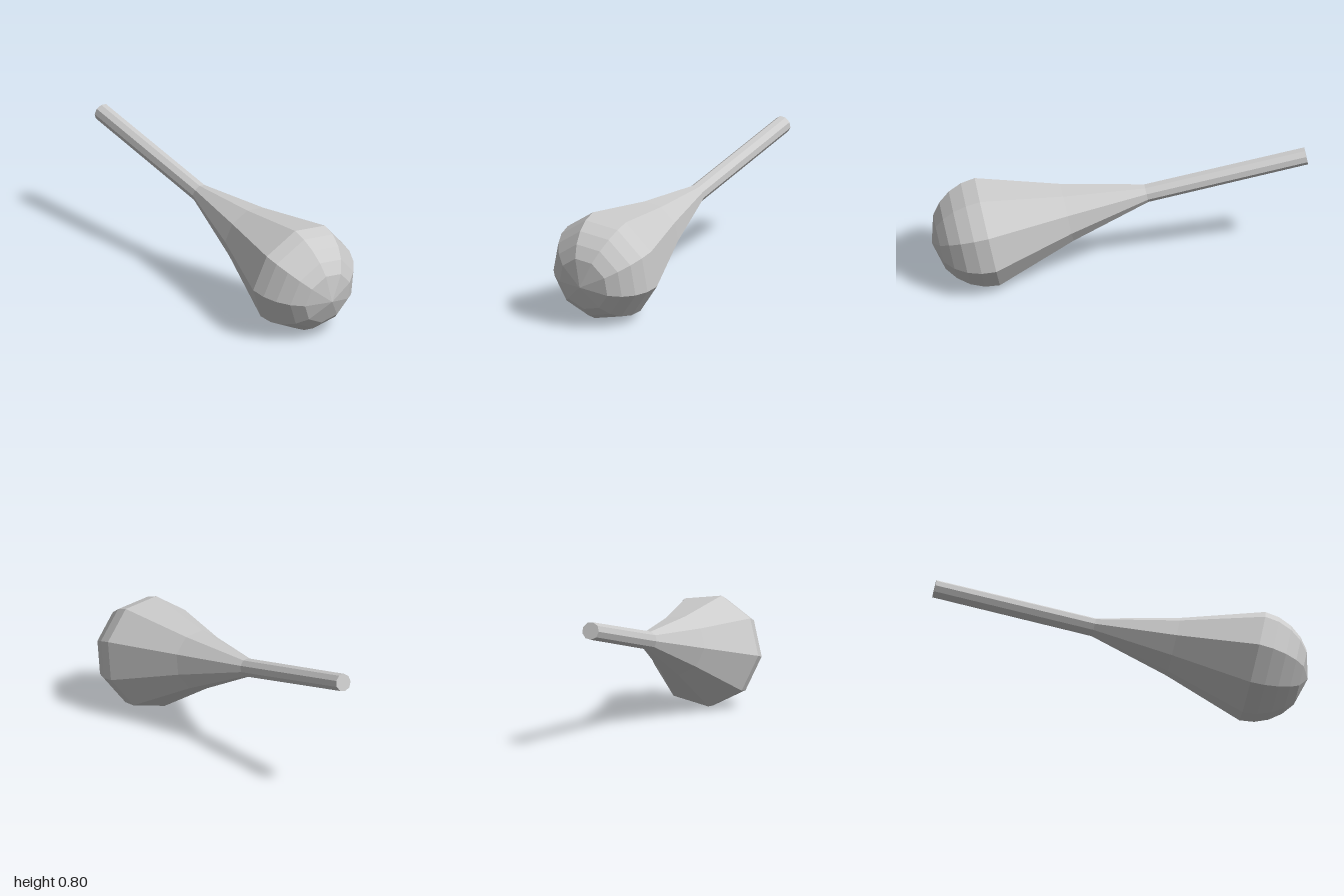
import * as THREE from 'three';

const SIDES = 9;

export function createModel() {
  const model = new THREE.Group();
  const material = new THREE.MeshStandardMaterial({ color: 0xcccccc, flatShading: true });

  // The club is built upright from the grip end, then tilted as one group.
  const club = new THREE.Group();
  club.name = 'club';
  const addLathe = (name, profile) => {
    const points = profile.map(([r, y]) => new THREE.Vector2(r, y));
    const mesh = new THREE.Mesh(new THREE.LatheGeometry(points, SIDES), material);
    mesh.name = name;
    club.add(mesh);
  };

  const neckY = 1.005, neckR = 0.057;
  const headY = 2.007, headR = 0.347;

  // Straight grip with a closed end
  addLathe('handle', [[0, 0], [0.055, 0], [neckR, neckY]]);

  // Flare widening from the neck to the head
  addLathe('flare', [[neckR, neckY], [0.184, 1.505], [headR, headY]]);

  // Faceted half-sphere head
  const dome = [0, 15, 30, 45, 60, 90].map((deg) => {
    const a = THREE.MathUtils.degToRad(deg);
    return [deg === 90 ? 0 : headR * Math.cos(a), headY + headR * Math.sin(a)];
  });
  addLathe('head', dome);

  // Tilt: y runs along the club, z points at one facet corner
  const axis = new THREE.Vector3(0.808, -0.2, 0.554).normalize();
  const side = new THREE.Vector3().crossVectors(axis, new THREE.Vector3(0.03, 0.954, 0.29)).normalize();
  const corner = new THREE.Vector3().crossVectors(side, axis);
  club.quaternion.setFromRotationMatrix(new THREE.Matrix4().makeBasis(side, axis, corner));
  model.add(club);

  // Stand on the ground, centred
  model.updateMatrixWorld(true);
  const box = new THREE.Box3().setFromObject(model, true);
  const center = box.getCenter(new THREE.Vector3());
  club.position.set(-center.x, -box.min.y, -center.z);
  return model;
}
